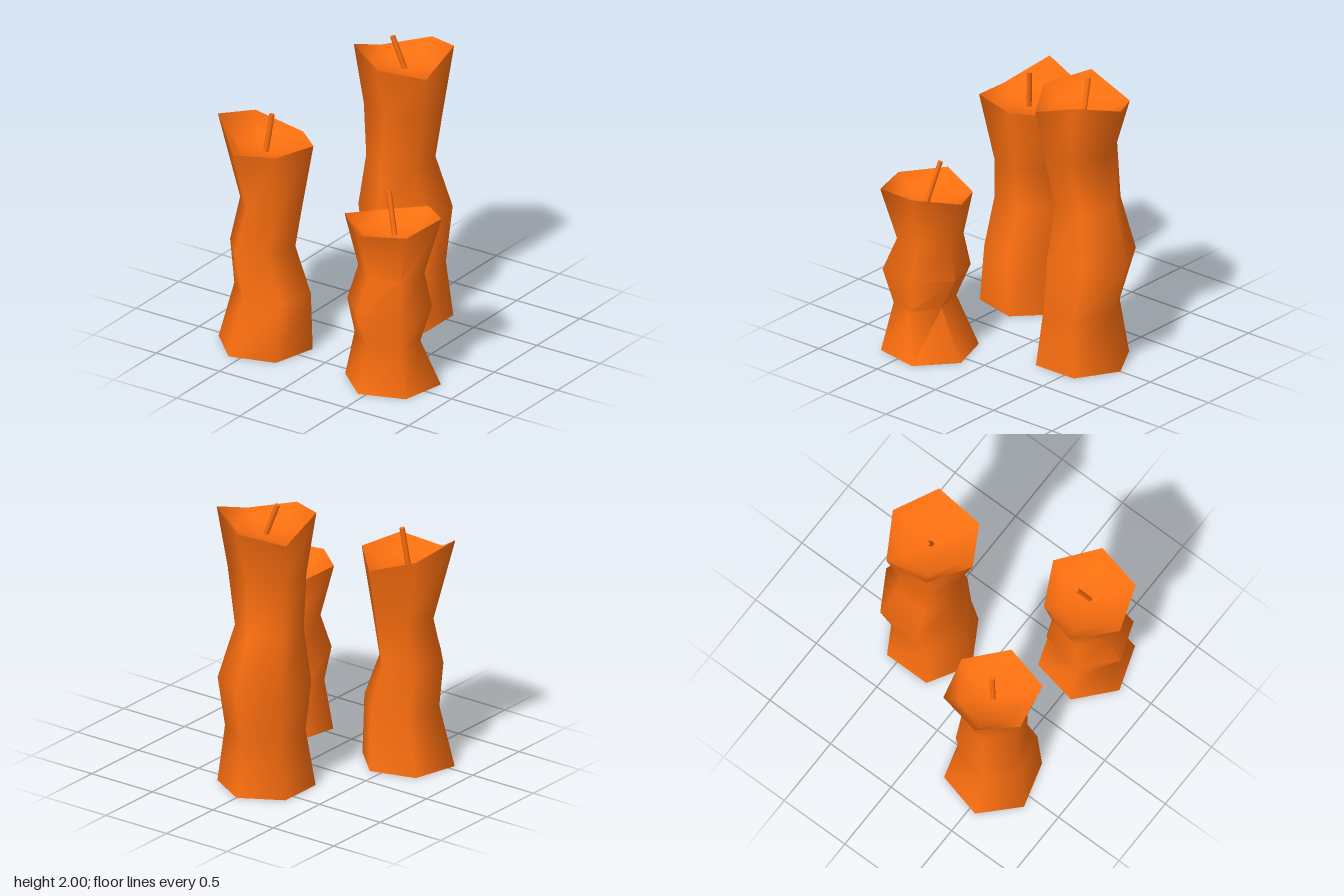
import * as THREE from 'three';
import { toCreasedNormals } from 'three/addons/utils/BufferGeometryUtils.js';

const SIDES = 6;
const FOOT = 0.325; // radius of the base
const RIM = 0.33; // radius of the flared rim
const DENT = 0.285; // radius of a pulled-in rim corner
const material = new THREE.MeshStandardMaterial({ color: 0xff7010 });

// Loop of corners around a centre; height may differ per corner
function hexLoop(turn, x, z, radiusX, radiusZ, height) {
  return Array.from({ length: SIDES }, (_, k) => {
    const a = THREE.MathUtils.degToRad(turn + k * 60);
    return [x + radiusX(k) * Math.cos(a), height(k), z + radiusZ(k) * Math.sin(a)];
  });
}

// Wax body: closed loft from base centre, up the side, over the rim into the bowl
function waxGeometry({ x, z, turn, rings, rim, dent }) {
  const floor = rim.reduce((a, b) => a + b) / SIDES - 0.09;
  const rimRadius = (k) => (k === dent ? DENT : RIM);
  const bowlRadius = (k) => rimRadius(k) * 0.7;
  const loops = [
    hexLoop(turn, x, z, () => FOOT, () => FOOT, () => 0),
    ...rings.map(([y, rx, rz, dx, dz]) => hexLoop(turn, x + dx, z + dz, () => rx, () => rz, () => y)),
    hexLoop(turn, x, z, rimRadius, rimRadius, (k) => rim[k]),
    hexLoop(turn, x, z, bowlRadius, bowlRadius, () => floor),
  ];
  const points = loops.flat();
  const base = points.push([x, 0, z]) - 1;
  const bowl = points.push([x, floor - 0.02, z]) - 1;
  const last = (loops.length - 1) * SIDES;
  const index = [];
  for (let k = 0; k < SIDES; k++) {
    const n = (k + 1) % SIDES;
    for (let i = 0; i < last; i += SIDES) {
      index.push(i + k, i + SIDES + k, i + n, i + n, i + SIDES + k, i + SIDES + n);
    }
    index.push(base, k, n, bowl, last + n, last + k);
  }
  const geometry = new THREE.BufferGeometry();
  geometry.setAttribute('position', new THREE.Float32BufferAttribute(points.flat(), 3));
  geometry.setIndex(index);
  return toCreasedNormals(geometry, 1.25);
}

// Wick: thin leaning rod between two points
function makeWick(from, to) {
  const a = new THREE.Vector3(...from);
  const b = new THREE.Vector3(...to);
  const along = b.clone().sub(a);
  const wick = new THREE.Mesh(new THREE.CylinderGeometry(0.018, 0.018, along.length(), 6), material);
  wick.position.copy(a).add(b).multiplyScalar(0.5);
  wick.quaternion.setFromUnitVectors(new THREE.Vector3(0, 1, 0), along.normalize());
  wick.name = 'wick';
  return wick;
}

function makeCandle(name, shape, wickFrom, wickTo) {
  const candle = new THREE.Group();
  candle.name = name;
  const wax = new THREE.Mesh(waxGeometry(shape), material);
  wax.name = 'waxBody';
  candle.add(wax, makeWick(wickFrom, wickTo));
  return candle;
}

export function createModel() {
  const model = new THREE.Group();
  model.name = 'candles';

  // Rings: height, radius in x, radius in z, shift in x, shift in z
  const tall = {
    x: 0, z: -0.42, turn: 30,
    rings: [
      [0.39, 0.27, 0.26, 0.01, 0],
      [0.76, 0.31, 0.31, -0.025, -0.055],
      [1.13, 0.225, 0.235, -0.035, -0.015],
      [1.51, 0.277, 0.222, 0.005, 0.012],
    ],
    rim: [1.83, 1.89, 1.94, 1.81, 1.88, 1.95],
  };
  const middle = {
    x: -0.5, z: 0.46, turn: 44, dent: 1,
    rings: [
      [0.41, 0.266, 0.255, 0.055, 0],
      [0.72, 0.219, 0.255, -0.02, 0.005],
      [1.03, 0.214, 0.222, 0.035, -0.015],
    ],
    rim: [1.485, 1.445, 1.61, 1.535, 1.425, 1.47],
  };
  const short = {
    x: 0.51, z: 0.46, turn: 41, dent: 3,
    rings: [
      [0.33, 0.233, 0.184, -0.01, 0.05],
      [0.57, 0.286, 0.299, -0.005, 0.032],
      [0.8, 0.228, 0.214, -0.01, 0.005],
    ],
    rim: [1.165, 1.145, 1.16, 1.1, 1.145, 1.2],
  };

  model.add(
    makeCandle('tallCandle', tall, [0, 1.77, -0.43], [-0.08, 1.995, -0.405]),
    makeCandle('middleCandle', middle, [-0.5, 1.37, 0.46], [-0.47, 1.65, 0.43]),
    makeCandle('shortCandle', short, [0.53, 1.05, 0.47], [0.45, 1.33, 0.42]),
  );
  return model;
}
